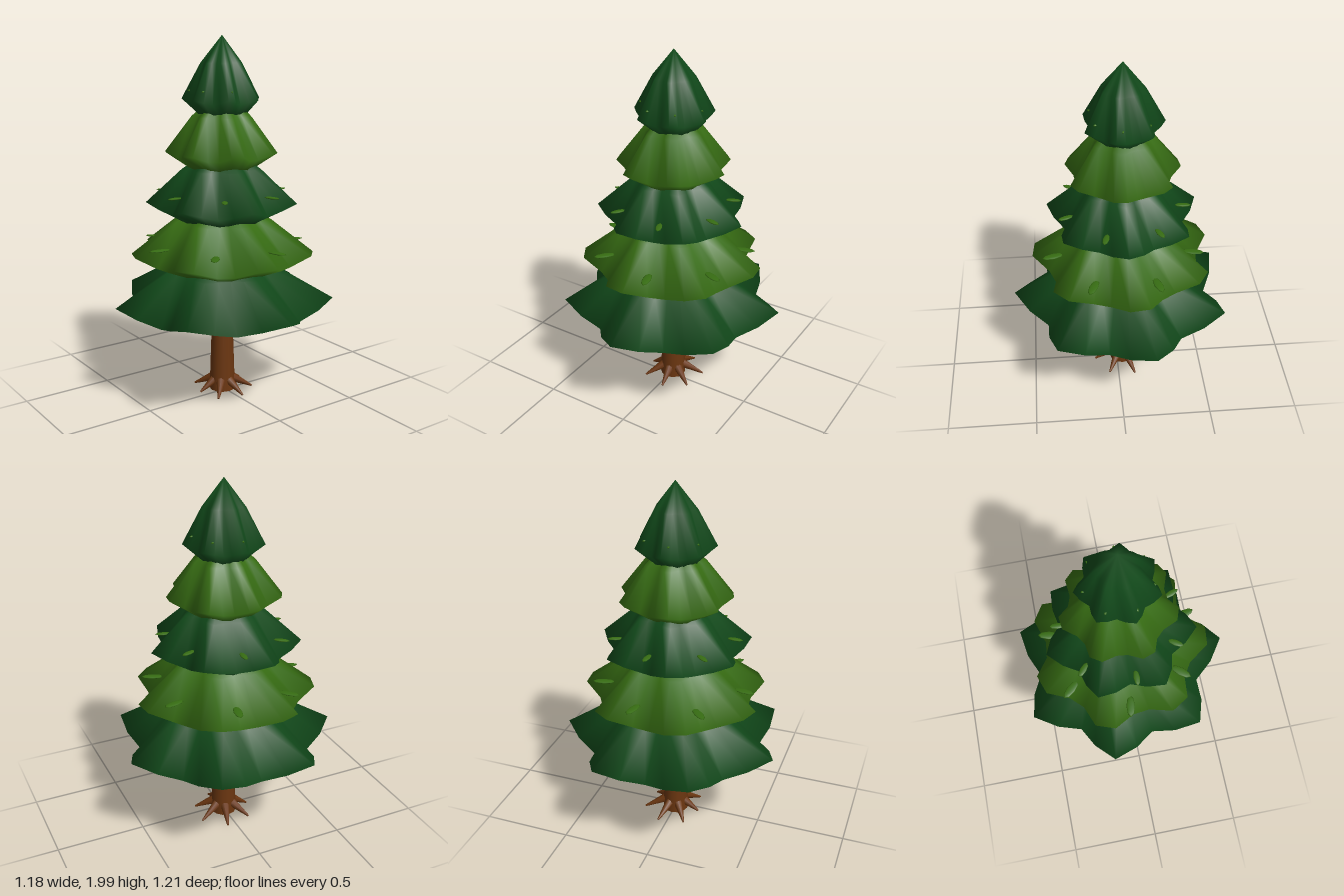
import * as THREE from 'three';
import { mergeVertices } from 'three/addons/utils/BufferGeometryUtils.js';

const SIDES = 28, POINTS = 7, STEP = (Math.PI * 2) / POINTS;

const material = (name, color) => {
  const m = new THREE.MeshStandardMaterial({ color });
  m.name = name;
  return m;
};

// Star-shaped skirt of branches, built from rings running bottom to apex.
function tierGeometry(R, shift) {
  // [radius, radius wave, height, height wave]
  const rings = [
    [0, 0, 0, 0],
    [0.595 * R, -0.035 * R, 0, 0],
    [R, 0.127 * R, 0.078, 0.067 * R],
    [0.55 * R, 0.045 * R, 0.28, 0],
    [0, 0, 0.425, 0],
  ];
  const pos = [], index = [];
  rings.forEach(([r, rw, y, yw], j) => {
    for (let i = 0; i < SIDES; i++) {
      const a = (i / SIDES) * Math.PI * 2;
      const wave = Math.cos(POINTS * (a - shift));
      const rad = r + rw * wave;
      pos.push(rad * Math.cos(a), y + yw * wave, rad * Math.sin(a));
      if (j === rings.length - 1) continue;
      const p = j * SIDES + i, q = j * SIDES + ((i + 1) % SIDES);
      if (j < rings.length - 2) index.push(p, p + SIDES, q + SIDES);
      if (j > 0) index.push(p, q + SIDES, q);
      if (j === rings.length - 2) index.push(p, p + SIDES, q + SIDES);
    }
  });
  let g = new THREE.BufferGeometry();
  g.setAttribute('position', new THREE.Float32BufferAttribute(pos, 3));
  g.setIndex(index);
  g = mergeVertices(g, 1e-5);
  g.computeVertexNormals();
  return g;
}

export function createModel() {
  const dark = material('dark green', 0x11491a);
  const light = material('light green', 0x376d13);
  const bark = material('bark brown', 0x6b3610);

  const tree = new THREE.Group();
  tree.name = 'pineTree';
  tree.position.x = -0.03;
  const add = (name, geo, mat, parent = tree) => {
    const m = new THREE.Mesh(geo, mat);
    m.name = name;
    parent.add(m);
    return m;
  };

  // Trunk
  add('trunk', new THREE.CylinderGeometry(0.056, 0.073, 0.5, 12), bark).position.y = 0.26;

  // Roots fanning out and down from the trunk
  const reach = [0.165, 0.17, 0.145, 0.17, 0.175, 0.18, 0.17];
  const up = new THREE.Vector3(0, 1, 0);
  reach.forEach((r, i) => {
    const a = -0.16 + i * STEP;
    const at = (d, y) => new THREE.Vector3(d * Math.cos(a), y, d * Math.sin(a));
    const from = at(0.045, 0.075), to = at(r, 0.012);
    const dir = to.clone().sub(from);
    const root = add('root', new THREE.CylinderGeometry(0.005, 0.028, dir.length(), 8), bark);
    root.position.copy(from).add(to).multiplyScalar(0.5);
    root.quaternion.setFromUnitVectors(up, dir.normalize());
  });

  // Branch tiers, each turned an eighth of a wave from the one below
  for (let k = 0; k < 5; k++) {
    const R = 0.55 - 0.089 * k;
    const tier = add('branchTier', tierGeometry(R, (k * STEP) / 8), k % 2 ? light : dark);
    tier.position.y = 0.447 + 0.282 * k;
  }

  // Flat sprigs poking out of the upper tiers: [height, radius, length, first angle]
  const sprigs = [
    [0.88, 0.395, 0.125, 0.7],
    [1.16, 0.325, 0.09, 0.57],
    [1.43, 0.215, 0.06, 0.44],
    [1.71, 0.165, 0.04, 0.31],
  ];
  const leaf = new THREE.SphereGeometry(0.5, 8, 6);
  for (const [y, r, len, start] of sprigs) {
    for (let i = 0; i < POINTS; i++) {
      const a = start + i * STEP;
      const sprig = add('sprig', leaf, light);
      sprig.position.set(r * Math.cos(a), y, r * Math.sin(a));
      sprig.rotation.y = -a - 0.15 * Math.sin(i * 2);
      sprig.scale.set(len, 0.012, len * 0.38);
    }
  }

  const model = new THREE.Group();
  model.name = 'model';
  model.add(tree);
  return model;
}
